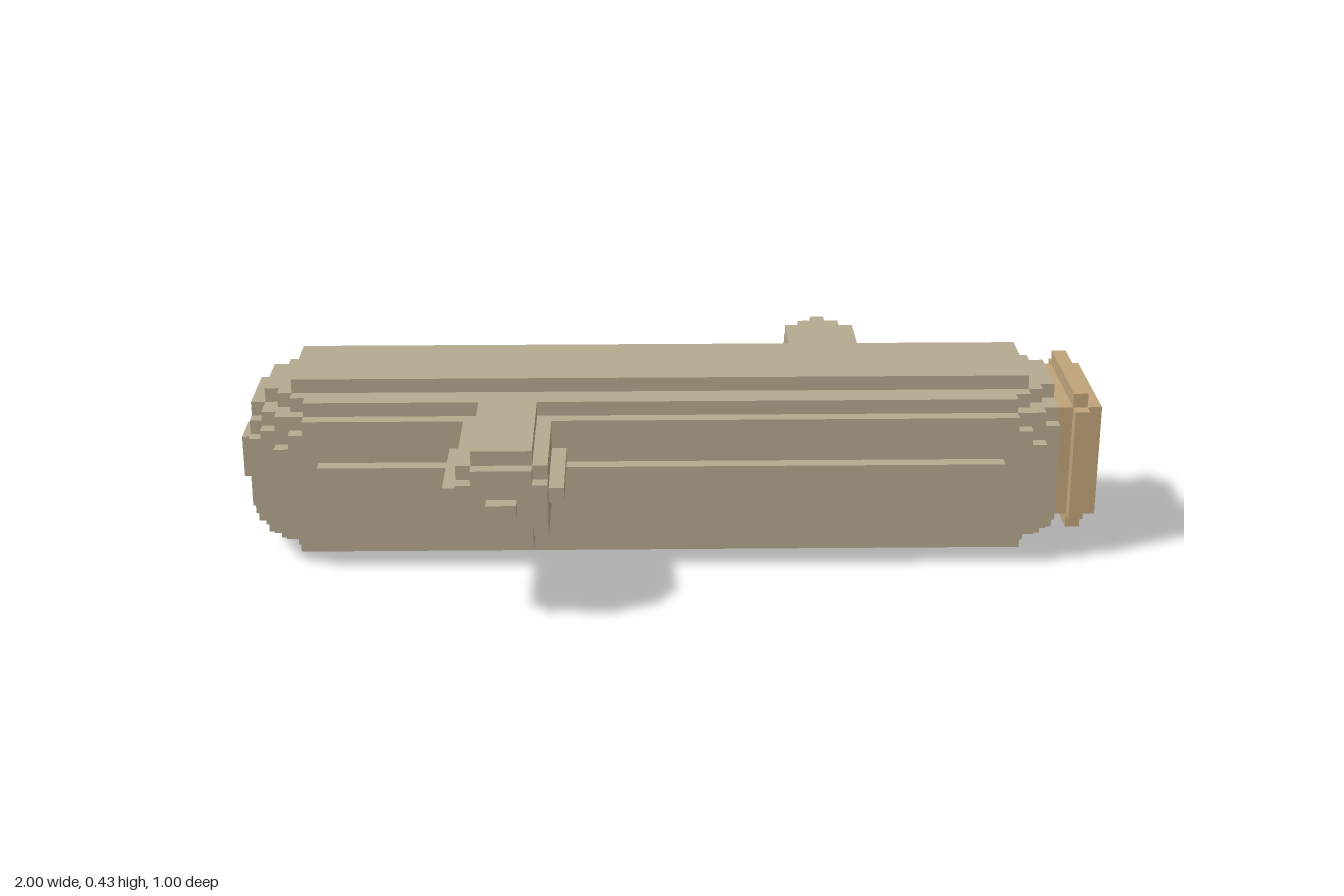
import * as THREE from 'three';

const U = 1 / 30; // size of one block

export function createModel() {
  const model = new THREE.Group();
  const bark = new THREE.MeshStandardMaterial({ color: 0xb4a88f });
  bark.name = 'greyBrownBark';
  const wood = new THREE.MeshStandardMaterial({ color: 0xbfa379 });
  wood.name = 'cutWood';

  // Each box is [x0, x1, y0, y1, z0, z1] in blocks
  function part(name, material, boxes) {
    const group = new THREE.Group();
    group.name = name;
    boxes.forEach(([x0, x1, y0, y1, z0, z1], i) => {
      const geo = new THREE.BoxGeometry((x1 - x0) * U, (y1 - y0) * U, (z1 - z0) * U);
      const mesh = new THREE.Mesh(geo, material);
      mesh.name = name + 'Block' + (i + 1);
      mesh.position.set((x0 + x1) * U / 2, (y0 + y1) * U / 2, (z0 + z1) * U / 2);
      group.add(mesh);
    });
    model.add(group);
  }

  // Trunk: nested boxes give a stepped round section and rounded ends
  part('trunk', bark, [
    [-26, 25, 0, 13, -5, 2],
    [-25, 24, 1, 12, -7, 4],
    [-26, 25, 1, 12, -6, 3],
    [-27, 26, 1, 12, -5, 2],
    [-28, 27, 1, 12, -4, 1],
    [-25, 24, 2, 11, -8, 5],
    [-26, 25, 3, 10, -8, 5],
    [-27, 26, 4, 9, -8, 5],
    [-27, 26, 2, 11, -7, 4],
    [-28, 27, 3, 10, -7, 4],
    [-28, 27, 2, 11, -6, 3],
    [-29, 27, 2, 11, -4, 1],
    [-29, 27, 3, 10, -5, 2],
    [-29, 27, 4, 9, -6, 3],
  ]);
  part('sideRidges', bark, [[-24, 23, 5, 8, -9, 6]]);
  part('endKnot', bark, [[-30, -29, 5, 8, -3, 0]]);

  // Cut end with a raised rim
  part('cutEnd', wood, [
    [27, 30, 3, 11, -6, 3],
    [28, 29, 2, 12, -6, 3],
    [28, 29, 3, 11, -7, 4],
  ]);

  // Branch stub on the front
  part('frontBranch', bark, [
    [-13, -9, 5, 12, 2, 13],
    [-14, -8, 6, 11, 2, 13],
    [-13, -9, 6, 11, 2, 14],
    [-14, -8, 7, 10, 2, 14],
    [-12, -10, 8, 9, 14, 15],
    [-15, -7, 8, 9, 5, 12],
  ]);

  // Branch stub on the back
  part('backBranch', bark, [
    [9, 14, 6, 12, -12, -5],
    [10, 13, 6, 12, -13, -5],
    [11, 12, 6, 12, -14, -5],
    [9, 14, 6, 11, -13, -5],
    [10, 13, 6, 11, -14, -5],
    [9, 14, 7, 10, -14, -5],
    [11, 12, 8, 10, -15, -14],
    [8, 9, 8, 10, -12, -8],
    [14, 15, 6, 10, -12, -8],
  ]);

  return model;
}
